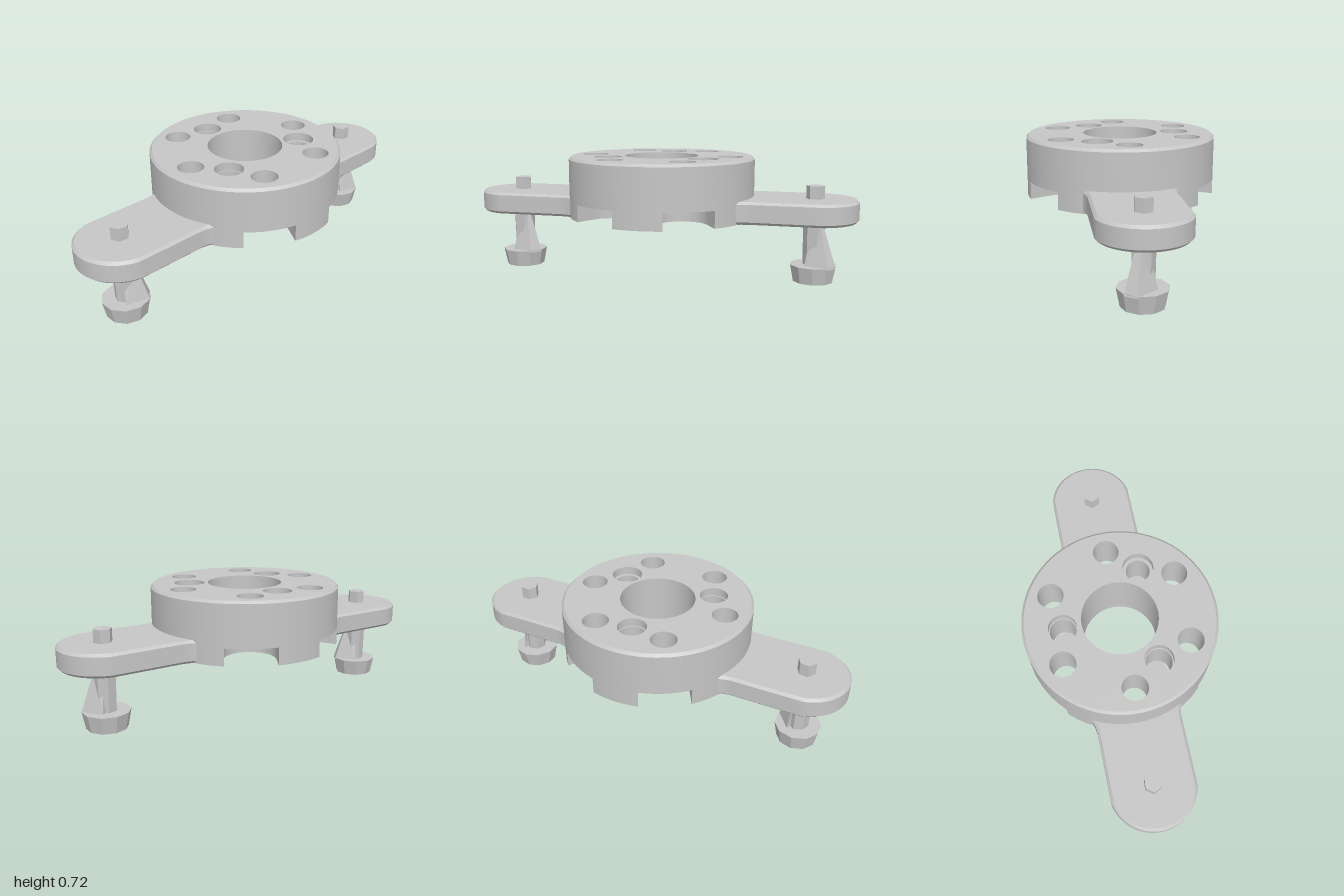
import * as THREE from 'three';
import { toCreasedNormals } from 'three/addons/utils/BufferGeometryUtils.js';
import { ConvexGeometry } from 'three/addons/geometries/ConvexGeometry.js';

const RAD = Math.PI / 180;
const ARM = 35.3 * RAD;      // plan angle of the arm axis
const HOLE_RING = 0.42;      // radius of the bolt circle
const RIM = 0.56;

const polar = (r, a) => new THREE.Vector2(r * Math.cos(a), r * Math.sin(a));

function circle(p, r) {
  return new THREE.Path().absarc(p.x, p.y, r, 0, Math.PI * 2, true);
}

// Extrude a plan shape upward from y0 to y1
function slab(shape, y0, y1, bevel = 0) {
  const geo = new THREE.ExtrudeGeometry(shape, {
    depth: y1 - y0 - 2 * bevel, curveSegments: 24,
    bevelEnabled: bevel > 0, bevelSize: bevel, bevelThickness: bevel,
    bevelOffset: -bevel, bevelSegments: 1,
  });
  geo.rotateX(-Math.PI / 2).translate(0, y0 + bevel, 0);
  return toCreasedNormals(geo, 0.5);
}

// Disc layer with bore, six bolt holes and three screw holes
function discShape(screwRadii) {
  const s = new THREE.Shape(Array.from({ length: 72 }, (_, i) => polar(0.545, i * 5 * RAD)));
  s.holes.push(circle(new THREE.Vector2(), 0.22));
  for (let k = 0; k < 6; k++) s.holes.push(circle(polar(HOLE_RING, ARM + k * 60 * RAD), 0.075));
  screwRadii.forEach((r, k) => s.holes.push(circle(polar(0.33, (5.5 + 120 * k) * RAD), r)));
  return s;
}

// Underside layer: open U-shaped pockets round the holes, closed ones at the arms
function baseShape() {
  const pts = [], pockets = [], w = 0.148, d = Math.asin(w / RIM);
  const arc = (a, b) => {
    for (let i = 0; i < 8; i++) pts.push(polar(RIM, a + (b - a) * i / 7));
  };
  for (let k = 0; k < 6; k++) {
    const a = ARM + k * 60 * RAD, c = polar(HOLE_RING, a);
    if (k % 3 === 0) {
      arc(a - 30 * RAD, a + 30 * RAD);
      pockets.push(circle(c, 0.125));
      continue;
    }
    arc(a - 30 * RAD, a - d);
    for (let i = 0; i <= 16; i++) {
      pts.push(polar(w, a + (270 - i * 180 / 16) * RAD).add(c));
    }
    arc(a + d, a + 30 * RAD);
  }
  // Drop the repeated points where arcs meet
  const s = new THREE.Shape(pts.filter((p, i) => p.distanceTo(pts.at(i - 1)) > 0.002));
  s.holes.push(circle(new THREE.Vector2(), 0.22), ...pockets);
  return s;
}

// Rounded arm with flared root, along +x
function armShape() {
  const s = new THREE.Shape();
  const root = polar(0.54, 31 * RAD);
  s.moveTo(root.x, -root.y);
  s.quadraticCurveTo(0.52, -0.245, 0.58, -0.245);
  s.lineTo(0.87, -0.245);
  s.absarc(0.918, 0, 0.25, -78 * RAD, 78 * RAD, false);
  s.lineTo(0.58, 0.245);
  s.quadraticCurveTo(0.52, 0.245, root.x, root.y);
  s.absarc(0, 0, 0.54, 31 * RAD, -31 * RAD, true);
  return s;
}

export function createModel() {
  const model = new THREE.Group();
  model.name = 'mountingFlange';
  const grey = new THREE.MeshStandardMaterial({ color: 0xc6c6c6 });
  grey.name = 'lightGrey';

  const add = (parent, name, geo) => {
    const m = new THREE.Mesh(geo, grey);
    m.name = name;
    parent.add(m);
    return m;
  };

  // Disc
  add(model, 'discTop', slab(discShape([0.09, 0.083, 0.083]), 0.67, 0.72));
  add(model, 'discBody', slab(discShape([0.07, 0.076, 0.076]), 0.46, 0.67));
  add(model, 'discBase', slab(baseShape(), 0.36, 0.46));
  const profile = [[0.545, 0.46], [RIM, 0.46], [RIM, 0.705], [0.545, 0.72]];
  const rim = new THREE.LatheGeometry(profile.map(p => new THREE.Vector2(...p)), 72);
  add(model, 'discRim', toCreasedNormals(rim, 0.5));

  // Arms
  for (let i = 0; i < 2; i++) {
    add(model, 'arm', slab(armShape(), 0.36, 0.49, 0.015)).rotation.y = ARM + i * Math.PI;
  }

  // Faceted pins, one through each arm
  const facet = g => {
    const flat = g.index ? g.toNonIndexed() : g;
    flat.computeVertexNormals();
    return flat;
  };
  for (const side of [1, -1]) {
    const pin = new THREE.Group();
    pin.name = 'pin';
    pin.position.set(0.75 * side, 0, -0.53 * side);
    add(pin, 'pinTip', facet(new THREE.CylinderGeometry(0.053, 0.053, 0.1, 6).translate(0, 0.515, 0)));
    add(pin, 'pinShaft', facet(new THREE.CylinderGeometry(0.066, 0.06, 0.3, 7).translate(0, 0.23, 0)));
    add(pin, 'pinFoot', facet(new THREE.CylinderGeometry(0.137, 0.117, 0.1, 10).translate(0, 0.05, 0)));
    // Sloping web from shaft to foot
    const web = [];
    for (const z of [-1, 1]) {
      for (const [x, y, h] of [[0.055, 0.34, 0.01], [0.103, 0.18, 0.02], [0.132, 0.09, 0.04],
        [0, 0.3, 0.03], [0, 0.09, 0.085]]) web.push(new THREE.Vector3(x, y, z * h));
    }
    add(pin, 'pinWeb', facet(new ConvexGeometry(web)));
    model.add(pin);
  }
  return model;
}
